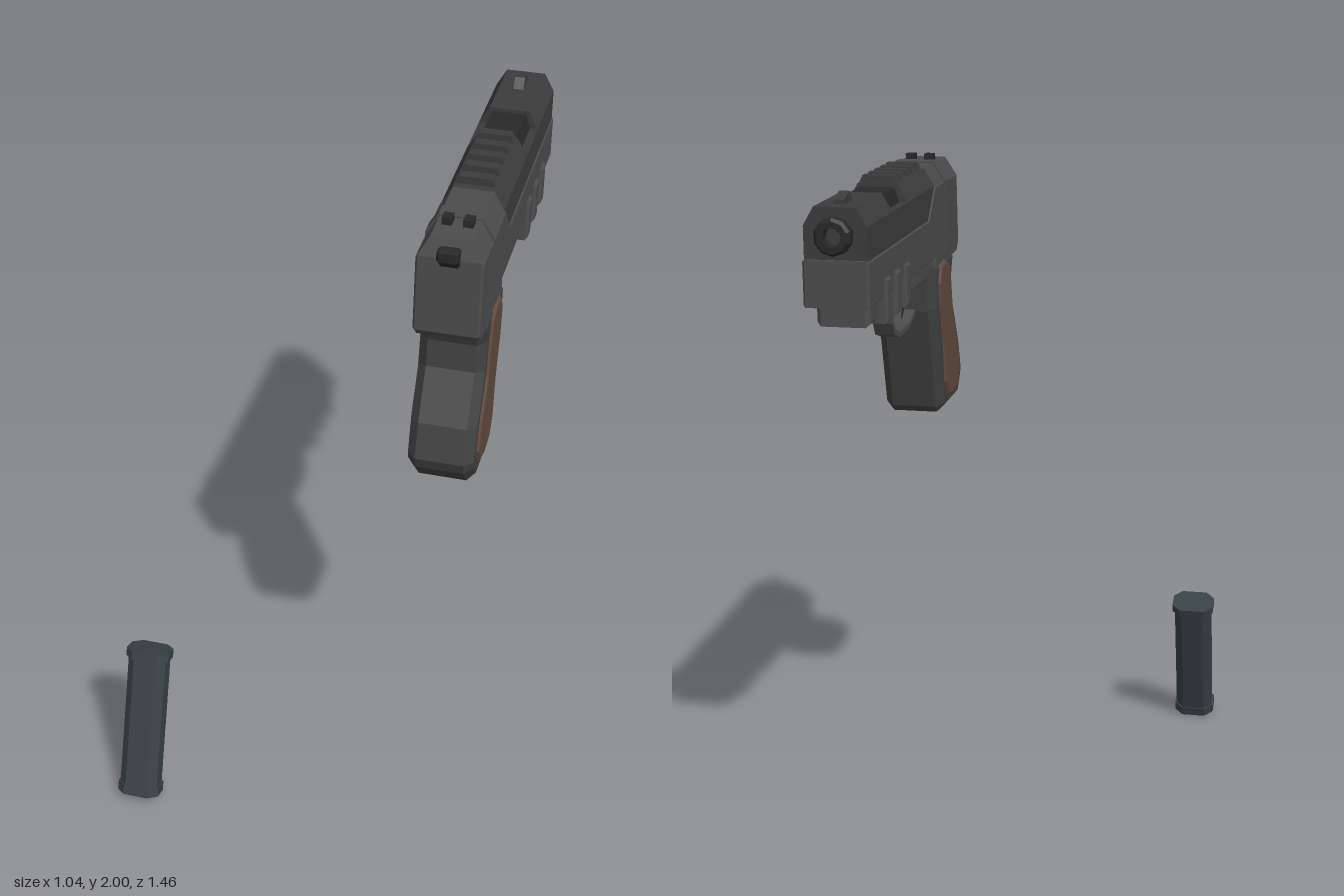
import * as THREE from 'three';

const CX = 0.417; // centre plane of the pistol
const mat = (color) => new THREE.MeshStandardMaterial({ color, flatShading: true });

export function createModel() {
  const root = new THREE.Group();
  const gun = new THREE.Group();
  gun.name = 'pistol';
  gun.position.x = CX;
  root.add(gun);

  const frameMat = mat(0x4c4c4c), slideMat = mat(0x3c3c3c), darkMat = mat(0x282828);
  const gripMat = mat(0x5f4a3f), magMat = mat(0x384145), gripFrameMat = mat(0x404040);

  const add = (parent, name, geometry, material) => {
    const m = new THREE.Mesh(geometry, material);
    m.name = name;
    parent.add(m);
    return m;
  };
  const toShape = (pts) => new THREE.Shape(pts.map(([a, b]) => new THREE.Vector2(a, b)));

  // Side outline [forward, y] given thickness across x, with optional chamfered edges
  const profile = (pts, width, chamfer = 0) => {
    const g = new THREE.ExtrudeGeometry(toShape(pts), {
      depth: width - 2 * chamfer, bevelEnabled: chamfer > 0, bevelSegments: 1,
      bevelSize: chamfer, bevelThickness: chamfer, bevelOffset: -chamfer,
    });
    g.translate(0, 0, chamfer - width / 2);
    return g.rotateY(Math.PI / 2);
  };
  // Bar along the barrel whose width narrows from w0 at y0 to w1 at y1
  const taper = (f0, f1, y0, y1, w0, w1) => {
    const g = new THREE.ExtrudeGeometry(
      toShape([[-w0 / 2, y0], [w0 / 2, y0], [w1 / 2, y1], [-w1 / 2, y1]]),
      { depth: f1 - f0, bevelEnabled: false });
    return g.translate(0, 0, -f1);
  };
  const rect = (f0, f1, y0, y1) => [[f0, y0], [f1, y0], [f1, y1], [f0, y1]];

  // Frame with the slanted seam toward the slide
  add(gun, 'frame', profile([
    [-0.40, 1.70], [-0.37, 1.67], [-0.08, 1.67], [-0.08, 1.70], [0.70, 1.70], [0.70, 1.83],
    [0, 1.83], [-0.085, 1.92], [-0.387, 1.92],
  ], 0.184, 0.006), frameMat);
  const rearTop = add(gun, 'rearTop', taper(-0.387, -0.085, 1.918, 1.972, 0.176, 0.116), frameMat);
  const rp = rearTop.geometry.attributes.position; // lean the rear face forward
  for (let i = 0; i < rp.count; i++) {
    if (rp.getZ(i) > 0.3 && rp.getY(i) > 1.95) rp.setZ(i, 0.37);
  }
  add(gun, 'frameRail', profile(rect(-0.08, 0.64, 1.637, 1.71), 0.15, 0.012), frameMat);

  // Raised band on the rear of the slide
  add(gun, 'rearBand', profile(rect(-0.255, -0.205, 1.70, 1.92), 0.19), frameMat);
  add(gun, 'rearBandTop', taper(-0.255, -0.205, 1.92, 1.977, 0.19, 0.122), frameMat);

  // Slide, split by the ejection port
  add(gun, 'slide', profile(
    [[0, 1.826], [0.69, 1.826], [0.69, 1.92], [-0.088, 1.92]], 0.176), slideMat);
  add(gun, 'slideTopRear', taper(-0.088, 0.245, 1.92, 1.972, 0.176, 0.116), slideMat);
  add(gun, 'slideTopFront', taper(0.42, 0.69, 1.92, 1.972, 0.176, 0.116), slideMat);
  add(gun, 'ejectionPort', taper(0.245, 0.42, 1.918, 1.962, 0.13, 0.10), darkMat);

  // Ribs on top of the slide
  for (let i = 0; i < 5; i++) {
    const f = -0.063 + i * 0.0675;
    add(gun, 'topRib', taper(f, f + 0.033, 1.968, 1.994, 0.114, 0.09), slideMat);
  }

  // Accessory rail ribs under the barrel
  for (const f of [0.27, 0.38, 0.49]) {
    add(gun, 'railRib', profile(rect(f, f + 0.055, 1.63, 1.755), 0.202, 0.008), frameMat);
  }

  // Sights
  add(gun, 'frontSight',
    profile([[0.56, 1.97], [0.647, 1.97], [0.647, 1.985], [0.585, 2.0]], 0.03), slideMat);
  for (const s of [-1, 1]) {
    const sight = add(gun, 'rearSight', profile(rect(-0.30, -0.265, 1.965, 1.992), 0.028), darkMat);
    sight.position.x = s * 0.029;
  }

  // Hammer
  add(gun, 'hammer', profile([
    [-0.36, 1.88], [-0.385, 1.895], [-0.424, 1.93], [-0.424, 1.957], [-0.40, 1.963], [-0.35, 1.94],
  ], 0.058, 0.006), darkMat);

  // Muzzle ring with a recessed bore
  const ring = new THREE.LatheGeometry(
    [[0.026, 0], [0.052, 0], [0.052, 0.06], [0.044, 0.07], [0.026, 0.07], [0.026, 0]]
      .map(([r, y]) => new THREE.Vector2(r, y)), 10);
  ring.rotateX(-Math.PI / 2).translate(0, 1.896, -0.66);
  add(gun, 'muzzle', ring, darkMat).material.side = THREE.DoubleSide;

  // Grip and its side panels
  add(gun, 'grip', profile([
    [-0.33, 1.69], [-0.30, 1.61], [-0.313, 1.53], [-0.39, 1.39], [-0.424, 1.29], [-0.413, 1.255],
    [-0.36, 1.195], [-0.155, 1.195], [-0.138, 1.215], [-0.053, 1.54], [-0.048, 1.69],
  ], 0.188, 0.025), gripFrameMat);
  add(gun, 'gripPanels', profile([
    [-0.238, 1.66], [-0.18, 1.68], [-0.117, 1.67], [-0.095, 1.62], [-0.106, 1.54], [-0.143, 1.42],
    [-0.159, 1.29], [-0.196, 1.24], [-0.27, 1.23], [-0.334, 1.247], [-0.365, 1.30], [-0.339, 1.385],
    [-0.275, 1.495], [-0.254, 1.60],
  ], 0.202, 0.008), gripMat);

  // Trigger guard as a thin closed band, and the trigger
  add(gun, 'triggerGuard', profile([
    [-0.075, 1.535], [0.02, 1.503], [0.138, 1.50], [0.20, 1.52], [0.224, 1.56], [0.234, 1.645],
    [0.212, 1.645], [0.208, 1.566], [0.19, 1.535], [0.135, 1.516], [0.022, 1.518], [-0.075, 1.552],
  ], 0.06), frameMat);
  add(gun, 'trigger', profile([
    [-0.04, 1.645], [-0.03, 1.612], [0.015, 1.605], [0.03, 1.57], [0.06, 1.54], [0.074, 1.542],
    [0.052, 1.58], [0.043, 1.645],
  ], 0.035), darkMat);

  // Loose magazine, leaning
  const mag = new THREE.Group();
  mag.name = 'magazine';
  mag.position.set(-0.45, 0.245, 0.5975);
  mag.rotation.x = -0.353;
  root.add(mag);
  const slab = (w, d, c, y0, y1) => {
    const a = w / 2, b = d / 2;
    const g = new THREE.ExtrudeGeometry(toShape([
      [-a + c, -b], [a - c, -b], [a, -b + c], [a, b - c],
      [a - c, b], [-a + c, b], [-a, b - c], [-a, -b + c],
    ]), { depth: y1 - y0, bevelEnabled: false });
    return g.rotateX(-Math.PI / 2).translate(0, y0, 0);
  };
  add(mag, 'magazineBody', slab(0.12, 0.098, 0.025, -0.22, 0.225), magMat);
  add(mag, 'magazineBase', slab(0.132, 0.102, 0.027, -0.242, -0.21), magMat);
  add(mag, 'magazineLip', slab(0.136, 0.102, 0.027, 0.215, 0.242), magMat);

  return root;
}
